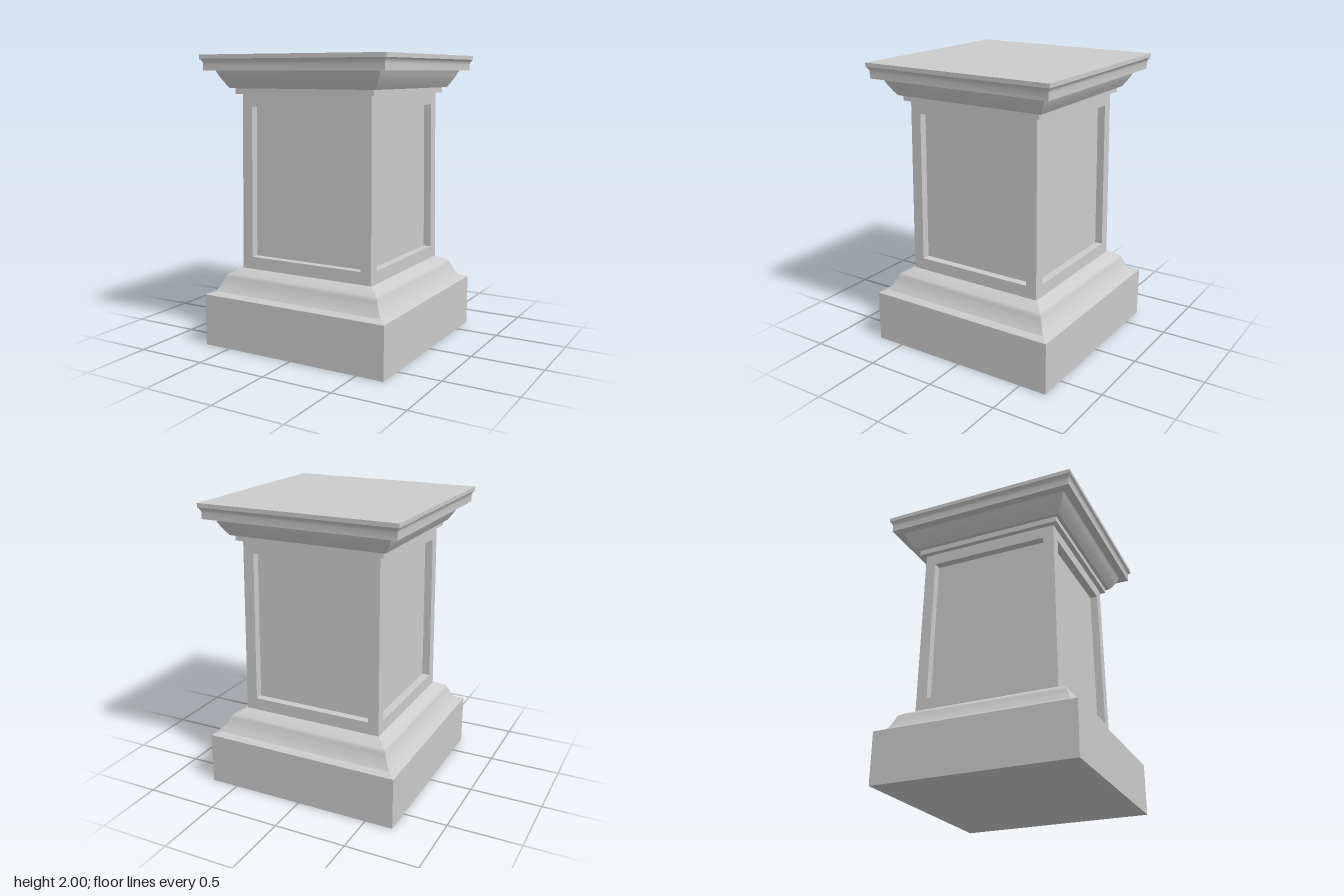
import * as THREE from 'three';
import { toCreasedNormals } from 'three/addons/utils/BufferGeometryUtils.js';

const material = new THREE.MeshStandardMaterial({ color: 0xcccccc });

// Shaft: slightly tapered, with a recessed panel on each side
const BOTTOM = 0.535, TOP = 1.74, DEPTH = 0.055;
const halfWidth = (y) => THREE.MathUtils.mapLinear(y, BOTTOM, TOP, 0.505, 0.492);

// Sweeps a [half width, height] profile around a square plan
function squareMoulding(name, profile) {
  const points = profile.map(([w, y]) => new THREE.Vector2(w * Math.SQRT2, y));
  const geometry = new THREE.LatheGeometry(points, 4, Math.PI / 4);
  const mesh = new THREE.Mesh(toCreasedNormals(geometry, 0.45), material);
  mesh.name = name;
  return mesh;
}

function rectangle(target, w, y0, y1) {
  target.moveTo(-w, y0);
  target.lineTo(w, y0);
  target.lineTo(w, y1);
  target.lineTo(-w, y1);
  target.closePath();
  return target;
}

// Frame around a panel: mitred at the corners and tapered with the shaft
function frameGeometry() {
  const shape = rectangle(new THREE.Shape(), 0.505, BOTTOM, TOP);
  shape.holes.push(rectangle(new THREE.Path(), 0.427, 0.62, 1.657));
  const geometry = new THREE.ExtrudeGeometry(shape, { depth: DEPTH, bevelEnabled: false });
  const p = geometry.attributes.position;
  for (let i = 0; i < p.count; i++) {
    const y = p.getY(i), inset = DEPTH - p.getZ(i);
    let x = p.getX(i) * halfWidth(y) / 0.505;
    if (Math.abs(p.getX(i)) > 0.45) x -= Math.sign(x) * inset;
    p.setXYZ(i, x, y, halfWidth(y) - inset);
  }
  geometry.computeVertexNormals();
  return geometry;
}

export function createModel() {
  const model = new THREE.Group();
  model.name = 'pedestal';

  // Square plinth
  model.add(squareMoulding('plinth', [[0, 0], [0.695, 0], [0.695, 0.36], [0, 0.36]]));

  // Curved moulding between plinth and shaft
  model.add(squareMoulding('baseMoulding', [
    [0.695, 0.36], [0.675, 0.368], [0.645, 0.378], [0.622, 0.408], [0.607, 0.44],
    [0.595, 0.465], [0.59, 0.485], [0.58, 0.497], [0.51, BOTTOM], [0, BOTTOM],
  ]));

  // Recessed panel faces, formed by the core of the shaft
  model.add(squareMoulding('panels', [
    [halfWidth(BOTTOM) - DEPTH, BOTTOM], [halfWidth(TOP) - DEPTH, TOP],
  ]));

  // Four panel frames
  const frame = frameGeometry();
  for (let i = 0; i < 4; i++) {
    const side = new THREE.Mesh(frame, material);
    side.name = 'panelFrame' + (i + 1);
    side.rotation.y = i * Math.PI / 2;
    model.add(side);
  }

  // Flat band at the neck
  model.add(squareMoulding('neckBand', [
    [0, TOP], [0.527, TOP], [0.527, 1.778], [0, 1.778],
  ]));

  // Flared moulding under the cap
  model.add(squareMoulding('capMoulding', [
    [0, 1.778], [0.553, 1.778], [0.572, 1.806], [0.59, 1.835],
    [0.604, 1.86], [0.612, 1.88], [0.62, 1.895],
  ]));

  // Projecting cap with a hollowed edge and a flat top
  model.add(squareMoulding('cap', [
    [0, 1.895], [0.677, 1.895], [0.677, 1.94], [0.68, 1.952], [0.686, 1.963],
    [0.695, 1.972], [0.695, 2], [0, 2],
  ]));

  return model;
}
